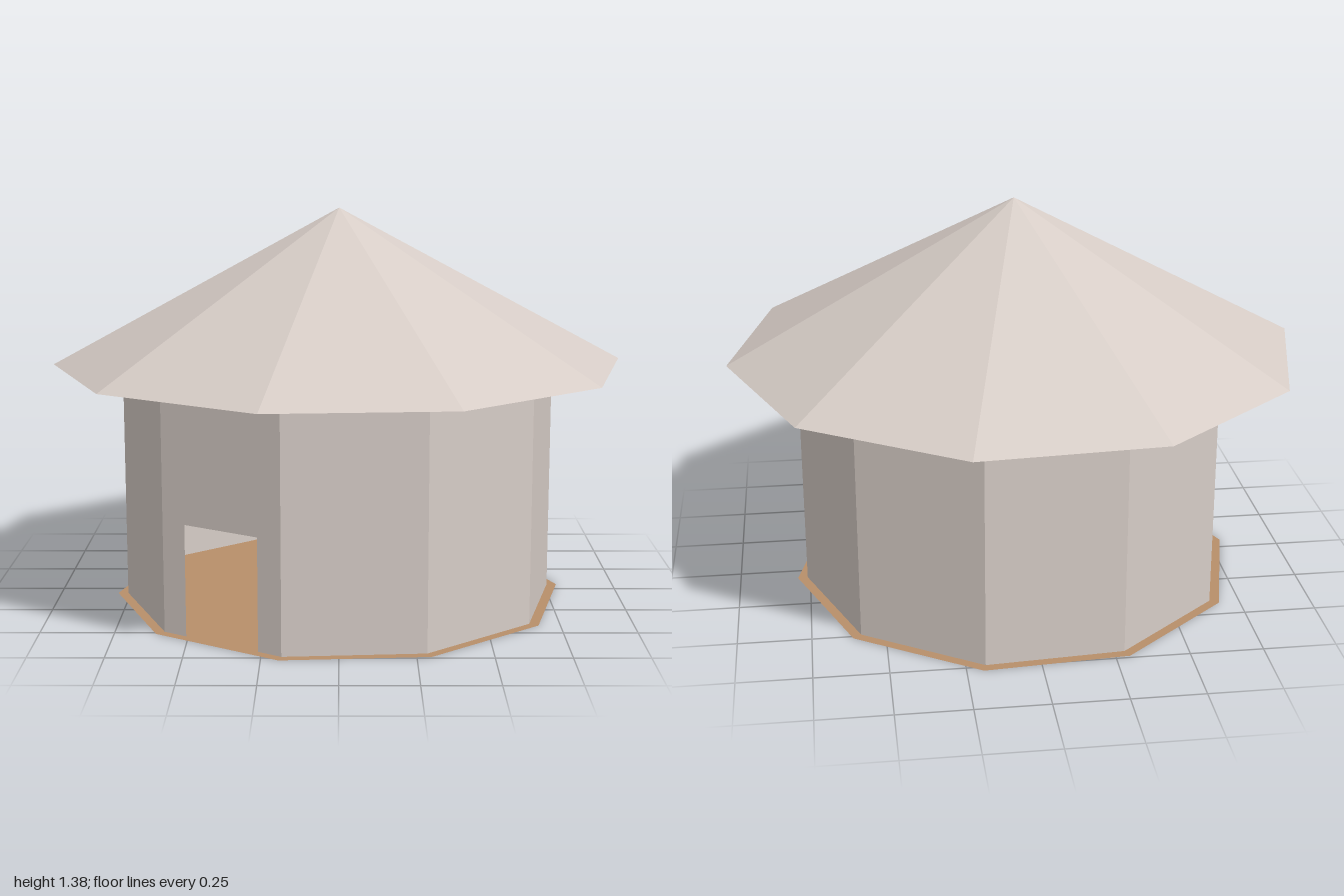
import * as THREE from 'three';

const SIDES = 10;
const STEP = (Math.PI * 2) / SIDES;
const TURN = THREE.MathUtils.degToRad(-14); // a corner sits at this turn from +z
const ROOF_R = 1.0024, WALL_R = 0.762, FLOOR_R = 0.797;
const EAVES = 0.838, APEX = 1.38;

function material(name, color) {
  const m = new THREE.MeshStandardMaterial({ color, side: THREE.DoubleSide, flatShading: true });
  m.name = name;
  return m;
}

function addMesh(parent, name, geometry, mat) {
  const mesh = new THREE.Mesh(geometry, mat);
  mesh.name = name;
  parent.add(mesh);
  return mesh;
}

// Flat wall panel, with an optional doorway cut up from its bottom edge
function panelGeometry(width, height, door) {
  const w = width / 2;
  const points = [[-w, 0]];
  if (door) {
    const d = door.width / 2;
    points.push([-d, 0], [-d, door.height], [d, door.height], [d, 0]);
  }
  points.push([w, 0], [w, height], [-w, height]);
  return new THREE.ShapeGeometry(new THREE.Shape(points.map(([x, y]) => new THREE.Vector2(x, y))));
}

export function createModel() {
  const model = new THREE.Group();
  model.name = 'roundHut';
  const plaster = material('pale plaster', 0xd6ccc6);
  const earth = material('brown earth', 0xb88f6a);

  // Flat floor, a little wider than the walls
  const floor = new THREE.CircleGeometry(FLOOR_R, SIDES, TURN - Math.PI / 2);
  floor.rotateX(-Math.PI / 2);
  addMesh(model, 'floor', floor, earth);

  // Ring of thin wall panels, one with the doorway
  const walls = new THREE.Group();
  walls.name = 'walls';
  model.add(walls);
  const width = 2 * WALL_R * Math.sin(STEP / 2);
  const apothem = WALL_R * Math.cos(STEP / 2);
  for (let i = 0; i < SIDES; i++) {
    const angle = TURN - STEP / 2 + i * STEP;
    const door = i === 0 ? { width: 0.29, height: 0.382 } : null;
    const panel = addMesh(walls, door ? 'doorWall' : 'wallPanel', panelGeometry(width, EAVES, door), plaster);
    panel.position.set(Math.sin(angle) * apothem, 0, Math.cos(angle) * apothem);
    panel.rotation.y = angle;
  }

  // Open conical roof
  const cone = new THREE.ConeGeometry(ROOF_R, APEX - EAVES, SIDES, 1, true, TURN).toNonIndexed();
  cone.computeVertexNormals();
  addMesh(model, 'roof', cone, plaster).position.y = (EAVES + APEX) / 2;

  return model;
}
